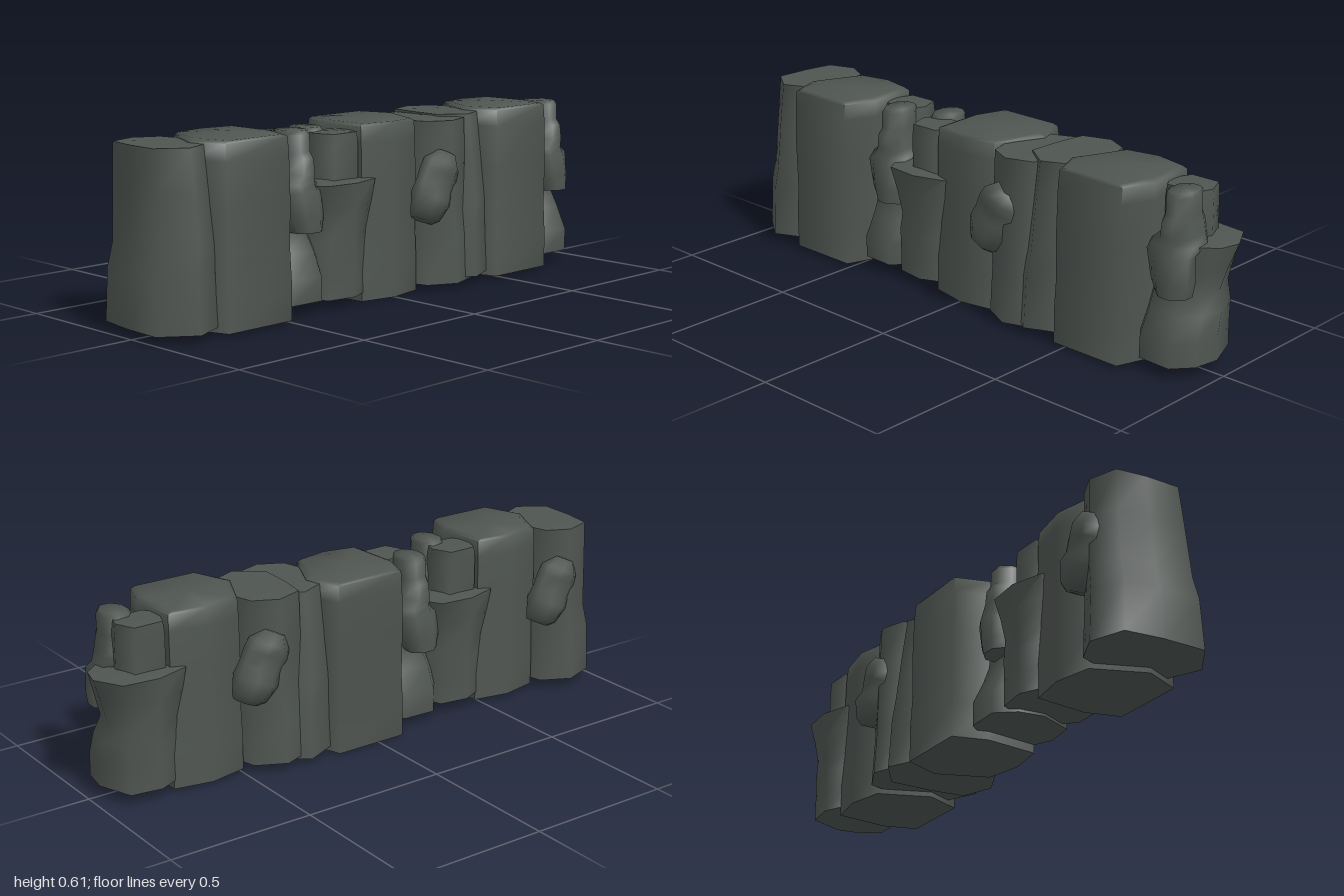
import * as THREE from 'three';
import { toCreasedNormals } from 'three/addons/utils/BufferGeometryUtils.js';

const stone = new THREE.MeshStandardMaterial({ color: 0x4f5551 });
stone.name = 'dark stone';

// Stacks scaled copies of a footprint (x, z). Each level: [y, scaleX, scaleZ, shiftX, shiftZ]
function rock(name, foot, levels, topRise = 0.01, crease = 1.25) {
  const n = foot.length;
  const cx = foot.reduce((s, p) => s + p[0], 0) / n;
  const cz = foot.reduce((s, p) => s + p[1], 0) / n;
  const rings = levels.map(([y, sx, sz, dx = 0, dz = 0]) =>
    foot.map(([x, z]) => [cx + (x - cx) * sx + dx, y, cz + (z - cz) * sz + dz]));
  const pos = [];
  const tri = (a, b, c) => pos.push(...a, ...b, ...c);
  for (let k = 0; k < rings.length - 1; k++) {
    for (let i = 0; i < n; i++) {
      const j = (i + 1) % n, lo = rings[k], hi = rings[k + 1];
      tri(lo[i], lo[j], hi[j]);
      tri(lo[i], hi[j], hi[i]);
    }
  }
  // Caps
  const cap = (ring, rise, up) => {
    const m = [0, 1, 2].map(a => ring.reduce((s, p) => s + p[a], 0) / n);
    m[1] += rise;
    for (let i = 0; i < n; i++) {
      const j = (i + 1) % n;
      up ? tri(m, ring[i], ring[j]) : tri(m, ring[j], ring[i]);
    }
  };
  cap(rings[0], 0, false);
  cap(rings[rings.length - 1], topRise, true);
  const g = new THREE.BufferGeometry();
  g.setAttribute('position', new THREE.Float32BufferAttribute(pos, 3));
  const mesh = new THREE.Mesh(toCreasedNormals(g, crease), stone);
  mesh.name = name;
  return mesh;
}

// Regular footprint for small boulders
const oval = (cx, cz, rx, rz, n = 8) => Array.from({ length: n }, (_, i) => {
  const a = Math.PI - (i + 0.5) * 2 * Math.PI / n;
  return [cx + rx * Math.cos(a), cz + rz * Math.sin(a)];
});

function wallSection() {
  const section = new THREE.Group();

  // Tall middle column with a flat face
  section.add(rock('tallColumn',
    [[-0.178, 0.06], [-0.13, 0.188], [0.13, 0.188], [0.17, 0.07], [0.16, -0.115], [0.03, -0.14], [-0.1, -0.115]],
    [[0.01, 1, 1], [0.13, 1, 1], [0.24, 0.98, 0.97], [0.4, 0.99, 0.98], [0.54, 0.98, 0.96], [0.595, 0.97, 0.93], [0.603, 0.84, 0.9]], 0.006));

  // End column, tapering upwards
  section.add(rock('endColumn',
    [[-0.36, 0.12], [-0.25, 0.2], [-0.14, 0.15], [-0.08, 0], [-0.12, -0.15], [-0.22, -0.2], [-0.335, -0.16], [-0.355, -0.03]],
    [[0.028, 1, 1], [0.2, 0.96, 0.95], [0.28, 0.89, 0.92, 0.012], [0.45, 0.85, 0.86, 0.012, -0.008], [0.59, 0.82, 0.8, 0.012, -0.015]], 0.006));

  // Low column, pinched below an overhanging top
  section.add(rock('lowColumn',
    [[0.12, 0.06], [0.18, 0.14], [0.3, 0.145], [0.355, 0.08], [0.37, -0.01], [0.325, -0.13], [0.22, -0.145], [0.12, -0.1]],
    [[0.04, 1, 1], [0.12, 0.98, 1], [0.2, 0.95, 0.87, 0.002, -0.02], [0.26, 0.84, 0.8, -0.005, -0.033],
     [0.34, 1, 0.79, 0, -0.04], [0.422, 1.15, 0.78, 0.01, -0.052]], 0.015));

  // Block behind the leaning boulder
  section.add(rock('backBlock',
    [[0.14, -0.03], [0.17, 0.02], [0.29, 0.02], [0.31, -0.04], [0.28, -0.11], [0.17, -0.108]],
    [[0.38, 1, 1], [0.54, 0.99, 1], [0.58, 0.93, 0.97]], 0.005));

  // Leaning boulder with a narrow head
  section.add(rock('leaningBoulder', oval(0.262, 0.045, 0.052, 0.07),
    [[0.267, 1.15, 0.75, 0.012, 0.052], [0.31, 1.45, 0.77, 0.005, 0.05], [0.4, 1.65, 0.7, -0.008, 0.048],
     [0.425, 1.65, 1.3, -0.012, 0], [0.455, 1.2, 1.32, 0, 0], [0.505, 1.02, 1.27], [0.525, 0.98, 1.03], [0.58, 1, 1], [0.594, 0.85, 0.85]], 0.002));

  // Tilted boulder stuck to the rear of the end column
  const lump = rock('tiltedBoulder', oval(0, 0, 0.075, 0.06),
    [[-0.12, 0.6, 0.55, 0, 0.01], [-0.1, 0.85, 0.75], [-0.04, 1.1, 1.05], [0, 1.1, 0.75],
     [0.05, 1.1, 0.85], [0.085, 1, 0.9], [0.125, 0.55, 0.6]], 0.003);
  lump.position.set(-0.145, 0.365, -0.155);
  lump.rotation.z = 0.45;
  section.add(lump);
  return section;
}

export function createModel() {
  const wall = new THREE.Group();
  wall.name = 'rockWall';
  // Three sections in a row, the middle one turned around
  [['leftSection', -0.64, 0, 0], ['middleSection', 0.03, -0.01, Math.PI], ['rightSection', 0.595, 0, 0]].forEach(([name, x, y, turn]) => {
    const s = wallSection();
    s.name = name;
    s.position.set(x, y, 0);
    s.rotation.y = turn;
    wall.add(s);
  });
  return wall;
}
